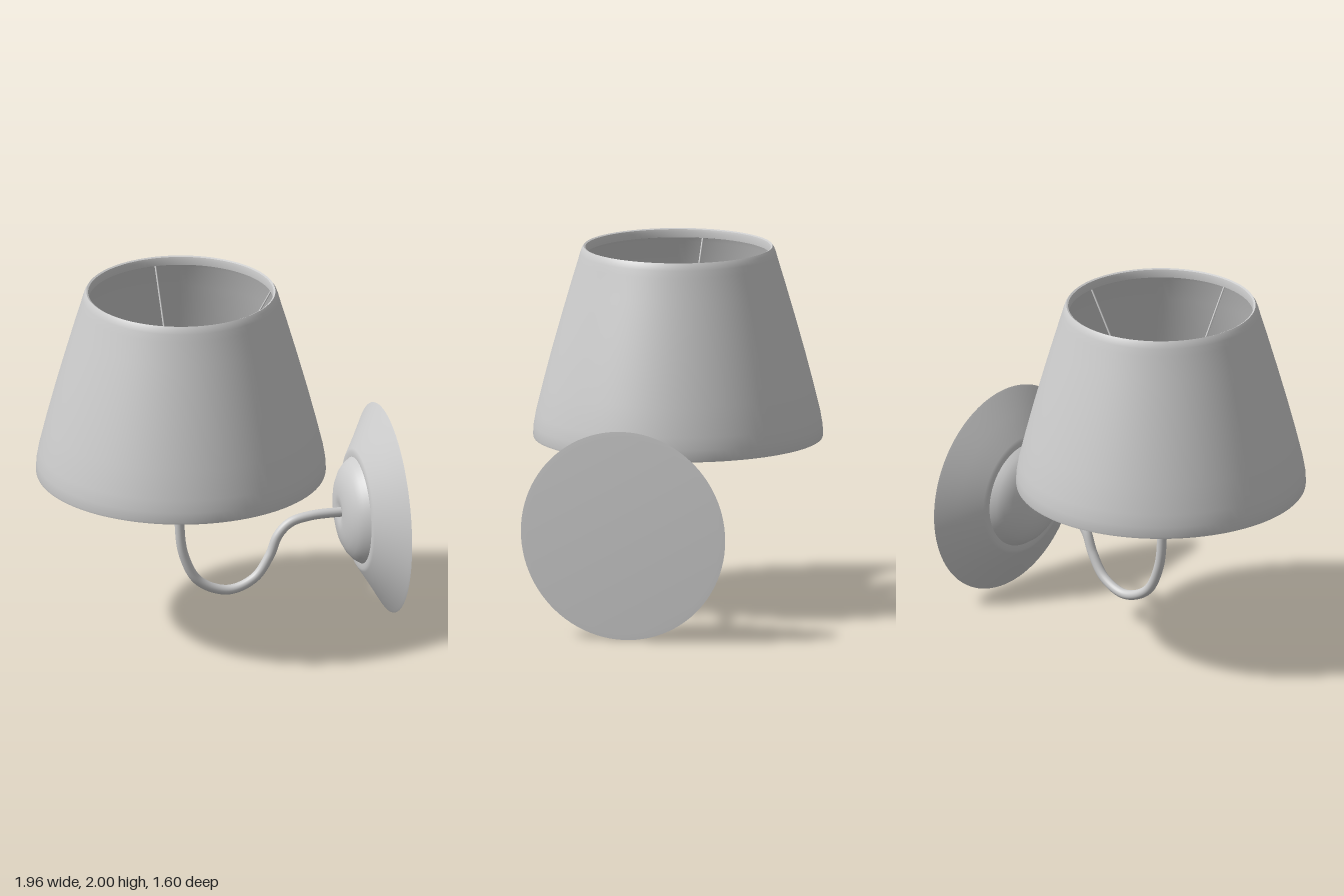
import * as THREE from 'three';
import { toCreasedNormals } from 'three/addons/utils/BufferGeometryUtils.js';

const material = new THREE.MeshStandardMaterial({ color: 0xcccccc, side: THREE.DoubleSide });
const AXIS_X = -0.182; // vertical axis of shade, bulb and socket
const PLATE_Y = 0.584; // height of the wall plate centre

function part(name, geometry, parent) {
  const mesh = new THREE.Mesh(geometry, material);
  mesh.name = name;
  parent.add(mesh);
  return mesh;
}

// Turned part from [radius, height] pairs, with sharp edges kept
function turned(profile, segments = 64) {
  const points = profile.map(([r, y]) => new THREE.Vector2(r, y));
  return toCreasedNormals(new THREE.LatheGeometry(points, segments), 0.6);
}

function rod(from, to, radius) {
  return new THREE.TubeGeometry(new THREE.LineCurve3(from, to), 1, radius, 8);
}

export function createModel() {
  const lamp = new THREE.Group();
  lamp.name = 'wallLamp';

  const head = new THREE.Group();
  head.name = 'lampHead';
  head.position.x = AXIS_X;
  lamp.add(head);

  // Shade: thin bowed wall, tapering to a fine lower edge, with a narrow band inside the top rim
  const outer = [[0.798, 0.934], [0.8, 0.945], [0.797, 1.0], [0.785, 1.07], [0.746, 1.23], [0.699, 1.41],
    [0.646, 1.6], [0.591, 1.79], [0.552, 1.92], [0.541, 1.96], [0.532, 1.985], [0.522, 2.0]];
  const band = [[0.512, 1.995], [0.508, 1.98], [0.508, 1.95], [0.53, 1.945]];
  const inner = outer.slice(2, 9).map(([r, y]) => [r - 0.012, y]).reverse();
  part('shade', turned([...outer, ...band, ...inner, outer[0]], 96), head);

  // Four wire spokes from the socket to the rim band
  for (let i = 0; i < 4; i++) {
    const spoke = part('spoke', rod(new THREE.Vector3(0.08, 1.2, 0), new THREE.Vector3(0.52, 1.95, 0), 0.005), head);
    spoke.rotation.y = i * Math.PI / 2;
  }

  // Socket
  part('socket', turned([[0, 1.0], [0.06, 1.0], [0.062, 1.04], [0.09, 1.08], [0.102, 1.14], [0.108, 1.21],
    [0.1, 1.23], [0, 1.23]]), head);

  // Bulb: flared neck running into a round globe
  const bulb = [[0.073, 1.22], [0.082, 1.27], [0.1, 1.34], [0.123, 1.42]];
  for (let i = 0; i <= 16; i++) {
    const a = THREE.MathUtils.lerp(-0.5, Math.PI / 2, i / 16);
    bulb.push([Math.max(0, 0.155 * Math.cos(a)), 1.53 + 0.155 * Math.sin(a)]);
  }
  part('bulb', turned(bulb), head);

  // Curved arm from the socket down and over to the wall plate
  const path = [[AXIS_X, 1.03], [-0.185, 0.82], [-0.19, 0.62], [-0.165, 0.425], [-0.08, 0.264], [0.09, 0.192],
    [0.24, 0.247], [0.327, 0.37], [0.375, 0.485], [0.445, 0.553], [0.56, 0.581], [0.78, PLATE_Y]];
  const curve = new THREE.CatmullRomCurve3(path.map(([x, y]) => new THREE.Vector3(x, y, 0)));
  part('arm', new THREE.TubeGeometry(curve, 120, 0.027, 20), lamp);

  // Wall plate, turned about the x axis
  const mount = new THREE.Group();
  mount.name = 'wallMount';
  mount.position.y = PLATE_Y;
  mount.rotation.z = -Math.PI / 2;
  lamp.add(mount);
  part('mountDome', turned([[0, 0.74], [0.03, 0.735], [0.06, 0.724], [0.1, 0.723], [0.15, 0.73], [0.2, 0.744],
    [0.245, 0.768], [0.275, 0.795], [0.297, 0.828]]), mount);
  part('wallPlate', turned([[0.285, 0.828], [0.325, 0.824], [0.343, 0.832], [0.46, 0.905], [0.574, 0.972],
    [0.584, 0.979], [0.55, 0.981], [0, 0.981]], 96), mount);

  return lamp;
}
